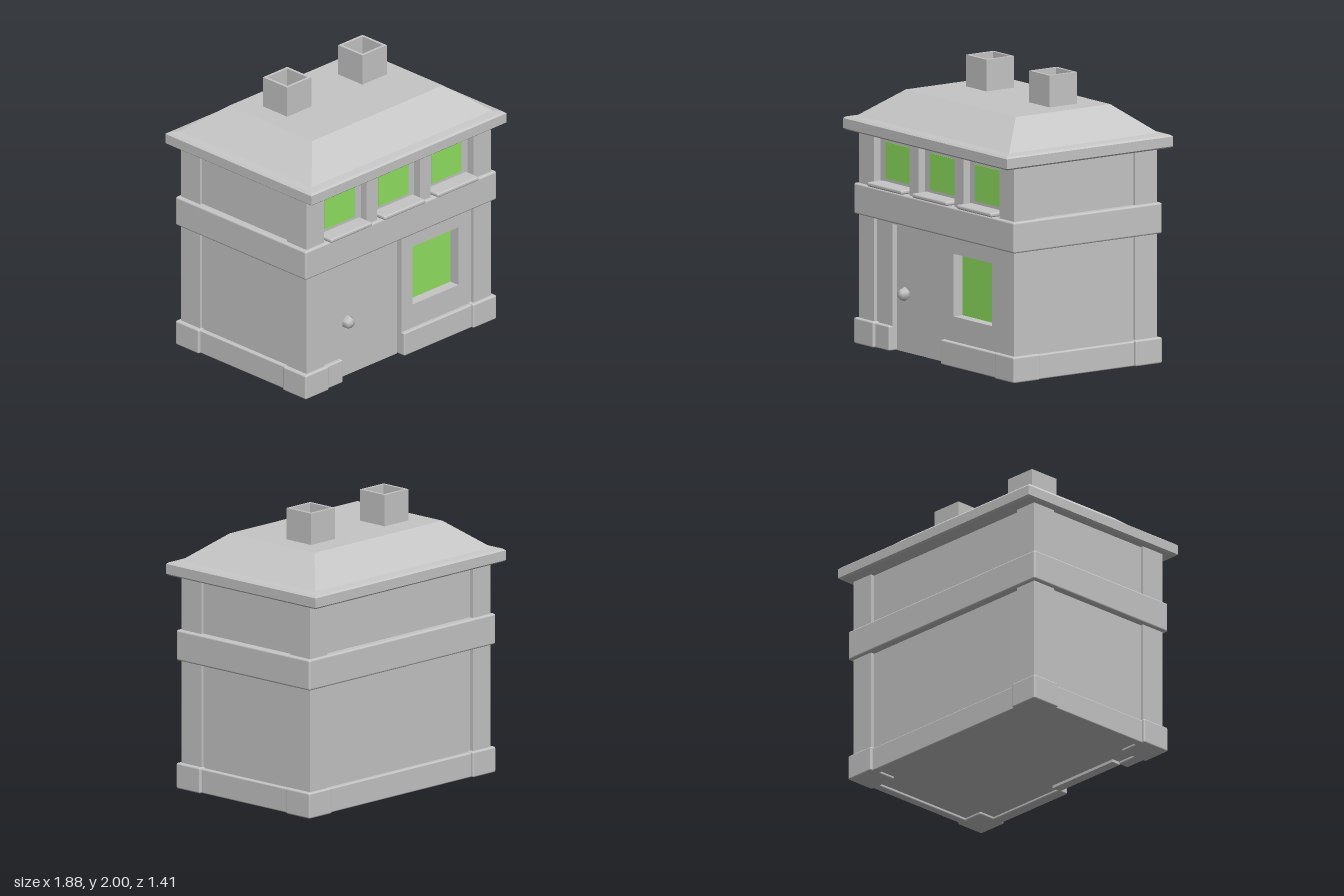
import * as THREE from 'three';
import { RoundedBoxGeometry } from 'three/addons/geometries/RoundedBoxGeometry.js';

export function createModel() {
  const house = new THREE.Group();
  house.name = 'townHouse';
  const stone = new THREE.MeshStandardMaterial({ color: 0xc6c6c6 });
  stone.name = 'greyStone';
  const glass = new THREE.MeshStandardMaterial({ color: 0x92e262 });
  glass.name = 'greenGlass';

  const add = (name, geometry, material = stone) => {
    const mesh = new THREE.Mesh(geometry, material);
    mesh.name = name;
    house.add(mesh);
    return mesh;
  };
  // Box given by its extents; a radius rounds the edges
  const box = (name, [x0, x1], [y0, y1], [z0, z1], radius = 0, material = stone) => {
    const size = [x1 - x0, y1 - y0, z1 - z0];
    const geometry = radius
      ? new RoundedBoxGeometry(...size, 2, radius)
      : new THREE.BoxGeometry(...size);
    const mesh = add(name, geometry, material);
    mesh.position.set((x0 + x1) / 2, (y0 + y1) / 2, (z0 + z1) / 2);
    return mesh;
  };
  const rect = (PathType, x0, x1, y0, y1) => new PathType([
    new THREE.Vector2(x0, y0), new THREE.Vector2(x1, y0),
    new THREE.Vector2(x1, y1), new THREE.Vector2(x0, y1),
  ]);

  // Walls behind the pillars
  box('lowerBody', [-0.87, 0.87], [0.02, 1.0], [-0.575, 0.48]);
  box('upperBody', [-0.87, 0.87], [1.0, 1.5], [-0.575, 0.55]);

  // Lower front wall with door opening and window hole
  const wall = new THREE.Shape([
    [-0.87, 0.02], [-0.54, 0.02], [-0.54, 0.88], [0.05, 0.88],
    [0.05, 0.02], [0.87, 0.02], [0.87, 0.95], [-0.87, 0.95],
  ].map(([x, y]) => new THREE.Vector2(x, y)));
  wall.holes.push(rect(THREE.Path, 0.16, 0.6, 0.345, 0.78));
  add('lowerFrontWall', new THREE.ExtrudeGeometry(wall, { depth: 0.1, bevelEnabled: false }))
    .position.z = 0.48;
  box('lowerWindow', [0.16, 0.6], [0.345, 0.78], [0.495, 0.503], 0, glass);

  // Recessed door and its low-poly knob
  box('door', [-0.54, 0.05], [0, 0.88], [0.47, 0.54]);
  const knob = add('doorKnob', new THREE.SphereGeometry(0.05, 6, 4));
  knob.rotation.x = Math.PI / 2;
  knob.rotation.y = Math.PI / 6;
  knob.position.set(-0.44, 0.405, 0.553);

  // Corner pillars on base blocks
  for (const sx of [-1, 1]) {
    for (const sz of [-1, 1]) {
      const span = (s, a, b) => (s > 0 ? [a, b] : [-b, -a]);
      box('cornerPillar', span(sx, 0.72, 0.89), [0.15, 1.5], span(sz, 0.42, 0.605));
      box('cornerBase', span(sx, 0.695, 0.92), [0, 0.18], span(sz, 0.405, 0.63), 0.012);
    }
  }

  // Plinth between the corner blocks, open at the door
  box('frontPlinth', [-0.72, -0.54], [0, 0.172], [0.53, 0.61], 0.01);
  box('frontPlinth', [0.05, 0.72], [0, 0.172], [0.53, 0.61], 0.01);
  box('backPlinth', [-0.72, 0.72], [0, 0.172], [-0.61, -0.55], 0.01);
  box('leftPlinth', [0.84, 0.9], [0, 0.172], [-0.43, 0.43], 0.01);
  box('rightPlinth', [-0.9, -0.84], [0, 0.172], [-0.43, 0.43], 0.01);

  // Belt course between the storeys
  box('beltCourse', [-0.92, 0.92], [0.9, 1.115], [-0.63, 0.63], 0.014);

  // Upper bays: windows, sills and dividing pillars
  for (const x of [-0.515, 0, 0.513]) {
    box('upperWindow', [x - 0.143, x + 0.143], [1.175, 1.43], [0.547, 0.554], 0, glass);
    box('windowSill', [x - 0.198, x + 0.198], [1.124, 1.155], [0.54, 0.67], 0.012);
  }
  for (const x of [-0.258, 0.255]) {
    box('bayPillar', [x - 0.051, x + 0.051], [1.1, 1.5], [0.5, 0.605]);
  }

  // Hipped roof: stacked rectangles of [half width, height, half depth]
  const rings = [
    [0.925, 1.488, 0.69], [0.94, 1.5, 0.705], [0.94, 1.568, 0.705],
    [0.925, 1.58, 0.69], [0.87, 1.59, 0.635], [0.63, 1.78, 0.4],
  ].map(([x, y, z]) => [[-x, y, z], [x, y, z], [x, y, -z], [-x, y, -z]]);
  const points = [];
  const quad = (a, b, c, d) => points.push(...a, ...b, ...c, ...a, ...c, ...d);
  for (let r = 0; r < rings.length - 1; r++) {
    for (let i = 0; i < 4; i++) {
      const j = (i + 1) % 4;
      quad(rings[r][i], rings[r][j], rings[r + 1][j], rings[r + 1][i]);
    }
  }
  quad(...rings[rings.length - 1]);
  quad(...rings[0].slice().reverse());
  const roof = new THREE.BufferGeometry();
  roof.setAttribute('position', new THREE.Float32BufferAttribute(points, 3));
  roof.computeVertexNormals();
  add('hippedRoof', roof);

  // Hollow square chimneys
  const flue = rect(THREE.Shape, -0.117, 0.117, -0.117, 0.117);
  flue.holes.push(rect(THREE.Path, -0.097, 0.097, -0.097, 0.097));
  for (const x of [-0.358, 0.367]) {
    const chimney = add('chimney', new THREE.ExtrudeGeometry(flue, { depth: 0.23, bevelEnabled: false }));
    chimney.rotation.x = -Math.PI / 2;
    chimney.position.set(x, 1.77, -0.112);
  }

  return house;
}
